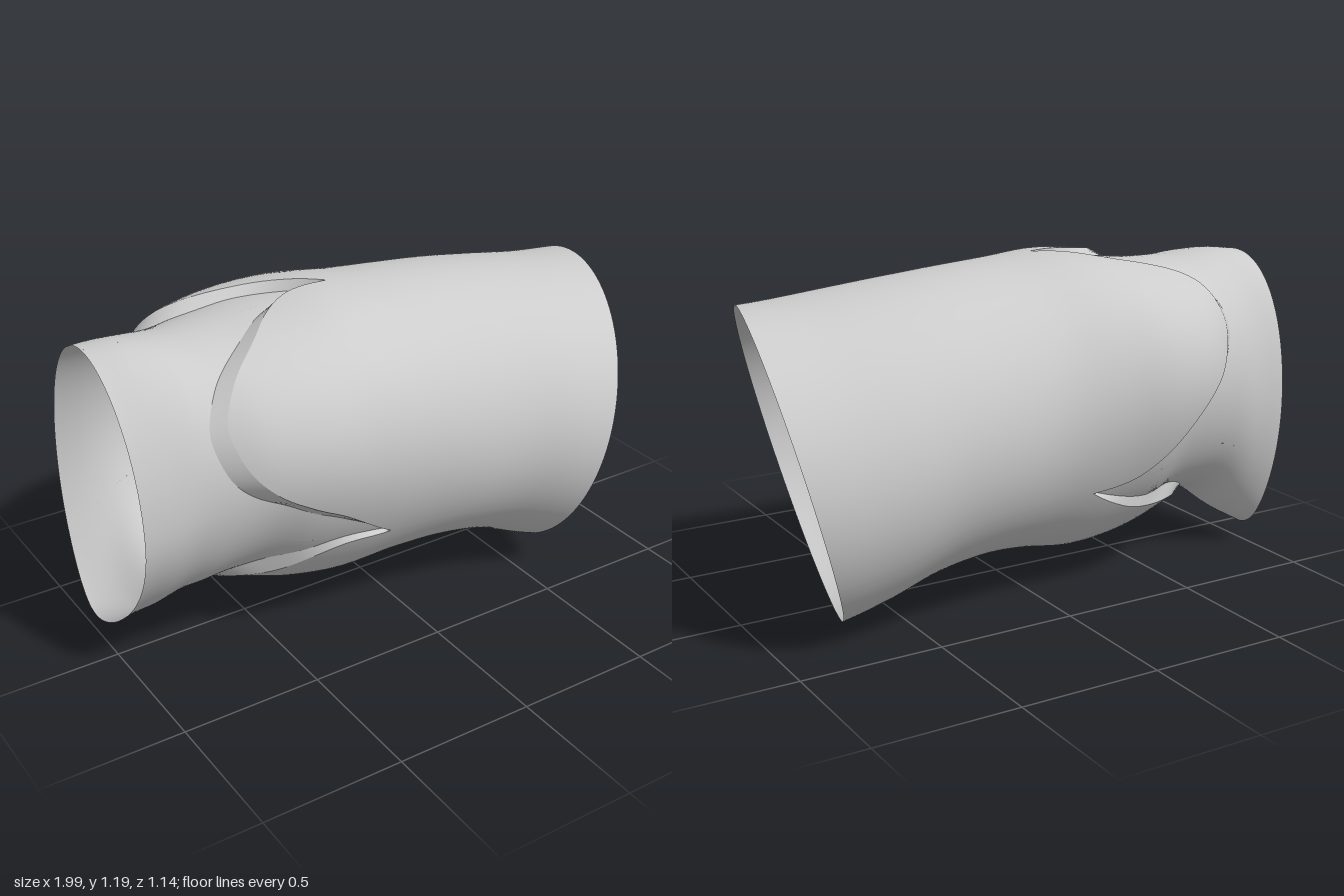
import * as THREE from 'three';
import { mergeVertices, toCreasedNormals } from 'three/addons/utils/BufferGeometryUtils.js';

const RAD = Math.PI / 180;
const START = -31 * RAD;          // angle of the first commissure (from +z towards +y)
const SECTOR = 120 * RAD;
const smooth = (t) => { t = Math.min(Math.max(t, 0), 1); return t * t * (3 - 2 * t); };

// Cross-sections along x: [x, top y, bottom y, back z, front z, lobe strength]
const OUTER = [
  [-0.75, 1.13, 0.25, -0.42, 0.34, 0.03],
  [-0.6, 1.15, 0.2, -0.515, 0.41, 0.05],
  [-0.4, 1.17, 0.13, -0.56, 0.45, 0.06],
  [-0.2, 1.19, 0.1, -0.545, 0.455, 0.045],
  [0, 1.175, 0.125, -0.53, 0.46, 0.02],
  [0.2, 1.16, 0.135, -0.54, 0.48, 0],
  [0.4, 1.14, 0.1, -0.545, 0.505, 0],
  [0.6, 1.115, 0.025, -0.55, 0.555, 0],
  [0.8, 1.09, -0.03, -0.535, 0.59, 0],
  [1, 1.075, -0.03, -0.51, 0.59, 0],
];
const INNER = [
  [-1, 1.13, 0.07, -0.39, 0.3, 0],
  [-0.9, 1.14, 0.13, -0.385, 0.32, 0],
  [-0.8, 1.135, 0.21, -0.4, 0.335, 0.01],
  [-0.7, 1.125, 0.235, -0.425, 0.35, 0.02],
  [-0.55, 1.13, 0.23, -0.47, 0.37, 0.03],
  [-0.4, 1.145, 0.18, -0.52, 0.41, 0.03],
  [-0.1, 1.155, 0.14, -0.51, 0.43, 0.02],
];

// Smooth interpolation between cross-sections
function section(table, x) {
  const n = table.length;
  let i = 0;
  while (i < n - 2 && x > table[i + 1][0]) i++;
  const b = table[i], c = table[i + 1];
  const a = table[Math.max(i - 1, 0)], d = table[Math.min(i + 2, n - 1)];
  const h = c[0] - b[0];
  const t = Math.min(Math.max((x - b[0]) / h, 0), 1);
  return b.map((p, j) => {
    const m0 = (c[j] - a[j]) / (c[0] - a[0]) * h;
    const m1 = (d[j] - b[j]) / (d[0] - b[0]) * h;
    const t2 = t * t, t3 = t2 * t;
    return (2 * t3 - 3 * t2 + 1) * p + (t3 - 2 * t2 + t) * m0 + (3 * t2 - 2 * t3) * c[j] + (t3 - t2) * m1;
  });
}

// Point on a three-lobed elliptical wall
function wall(table, angle, x) {
  const [, top, bottom, back, front, k] = section(table, x);
  const ry = (top - bottom) / 2, rz = (front - back) / 2;
  const cy = top - ry * (1 - k), cz = (front + back) / 2;
  const r = 1 - k * Math.cos(3 * (angle - START));
  const s = Math.sin(angle), c = Math.cos(angle);
  // the open inflow end leans back and tapers to a point at its underside
  const fade = 1 - smooth((x + 1) / 0.28);
  const low = Math.max(-s, 0) ** 2 * fade, high = Math.max(s, 0) ** 2 * fade;
  return new THREE.Vector3(x, cy + ry * s * r, cz + rz * c * r * (1 - 0.25 * low) - 0.12 * low - 0.04 * high);
}

// Scalloped sinus edge, the same for each cusp: (fraction of the sector, x)
const scallop = new THREE.CatmullRomCurve3([
  [0, -0.115], [0.07, -0.22], [0.14, -0.33], [0.195, -0.45], [0.26, -0.57], [0.34, -0.65], [0.43, -0.69],
  [0.52, -0.7], [0.66, -0.635], [0.8, -0.5], [0.92, -0.38], [0.98, -0.28], [1, -0.115],
].map(([f, x]) => new THREE.Vector3(f, x, 0)));

// Outer and inner line of that edge at s (0..1 within the cusp)
function edge(cusp, s) {
  const p = scallop.getPointAt(s);
  const angle = START + (cusp + p.x) * SECTOR;
  const spread = -0.02 * Math.sin(2 * Math.PI * s) * SECTOR;
  return {
    outer: { angle, x: p.y },
    inner: { angle: angle + spread, x: p.y - 0.05 * smooth(Math.sin(Math.PI * s)) },
  };
}

function rimX(angle) {
  let x = 0.8;
  for (let i = 0; i < 8; i++) {
    const p = wall(OUTER, angle, x);
    x = 0.66 + 0.27 * p.y - 0.25 * p.z;
  }
  return x;
}

// Indexed surface from a rule fn(u, v), u and v in 0..1
function surface(nu, nv, fn) {
  const pos = [], index = [];
  for (let i = 0; i <= nu; i++) {
    for (let j = 0; j <= nv; j++) {
      pos.push(...fn(i / nu, j / nv).toArray());
      if (i < nu && j < nv) {
        const a = i * (nv + 1) + j, b = a + nv + 1;
        index.push(a, a + 1, b, b, a + 1, b + 1);
      }
    }
  }
  const geo = new THREE.BufferGeometry();
  geo.setAttribute('position', new THREE.Float32BufferAttribute(pos, 3));
  geo.setIndex(index);
  const welded = mergeVertices(geo, 1e-5);
  welded.computeVertexNormals();
  return welded;
}

// Surface running once round the axis, three cusps in turn
const around = (nv, fn) => surface(180, nv, (u, v) => {
  const cusp = Math.min(Math.floor(u * 3 + 1e-9), 2);
  return fn(edge(cusp, Math.min(Math.max(u * 3 - cusp, 0), 1)), v);
});

// Moves a point outwards from the axis at the given angle
function push(p, angle, distance) {
  p.y += Math.sin(angle) * distance;
  p.z += Math.cos(angle) * distance;
  return p;
}

// Free edge of a leaflet, from one commissure through the middle to the next
const HUB = new THREE.Vector3(-0.27, 0.725, -0.07);
function freeEdge(cusp, u, inset) {
  const w = Math.abs(2 * u - 1);
  const comm = START + (cusp + (u < 0.5 ? 0 : 1)) * SECTOR;
  const p = HUB.clone().lerp(wall(INNER, comm, -0.115), w);
  push(p, comm + Math.PI / 2, 0.26 * w * (1 - w));   // sideways bow
  const gap = 0.055 * Math.max(1 - 1.25 * w, 0) + (0.006 + inset) * (1 - w ** 4);
  return push(p, START + (cusp + 0.5) * SECTOR, gap);
}

function leaflet(cusp) {
  const thickness = 0.03;
  const belly = push(HUB.clone(), START + (cusp + 0.5) * SECTOR, 0.13);
  const sheet = (u, v, lower) => {
    const w = Math.abs(2 * u - 1);
    const { inner } = edge(cusp, u);
    const root = wall(INNER, inner.angle, inner.x);
    const tip = freeEdge(cusp, u, lower ? 0 : 0.035);
    const ctrl = root.clone().lerp(belly, 0.55 * (1 - w * w));
    ctrl.x = root.x + 0.1 * (tip.x - root.x);
    if (lower) {
      ctrl.x -= thickness * (1 - w ** 4);
      tip.x -= thickness * 0.7 * (1 - w ** 4);
    }
    return new THREE.QuadraticBezierCurve3(root, ctrl, tip).getPoint(v);
  };
  // upper face, free-edge band and lower face in one loop
  const nv = 14, total = 2 * nv + 1;
  const geo = surface(48, total, (u, t) => {
    const j = Math.round(t * total);
    return j <= nv ? sheet(u, j / nv, false) : sheet(u, (total - j) / nv, true);
  });
  return toCreasedNormals(geo, 40 * RAD);
}

export function createModel() {
  const group = new THREE.Group();
  const tissue = new THREE.MeshStandardMaterial({ color: 0xcccccc, side: THREE.DoubleSide });
  tissue.name = 'tissueGrey';
  const add = (name, geo) => {
    const mesh = new THREE.Mesh(geo, tissue);
    mesh.name = name;
    group.add(mesh);
  };

  // outflow vessel with three bulging sinuses and an oblique open end
  add('outflowVessel', around(44, ({ outer: { angle, x } }, v) =>
    wall(OUTER, angle, x + (rimX(angle) - x) * v)));
  // inflow tube, rising into three pointed tongues between the sinuses
  add('inflowTube', around(28, ({ inner: { angle, x } }, v) =>
    wall(INNER, angle, -1 + (x + 1) * v)));
  // bevelled step joining tube and vessel
  add('scallopedStep', around(1, ({ inner, outer }, v) =>
    v < 0.5 ? wall(INNER, inner.angle, inner.x) : wall(OUTER, outer.angle, outer.x)));
  // three valve leaflets
  ['frontLeaflet', 'backLeaflet', 'lowerLeaflet'].forEach((name, i) => add(name, leaflet(i)));
  return group;
}
